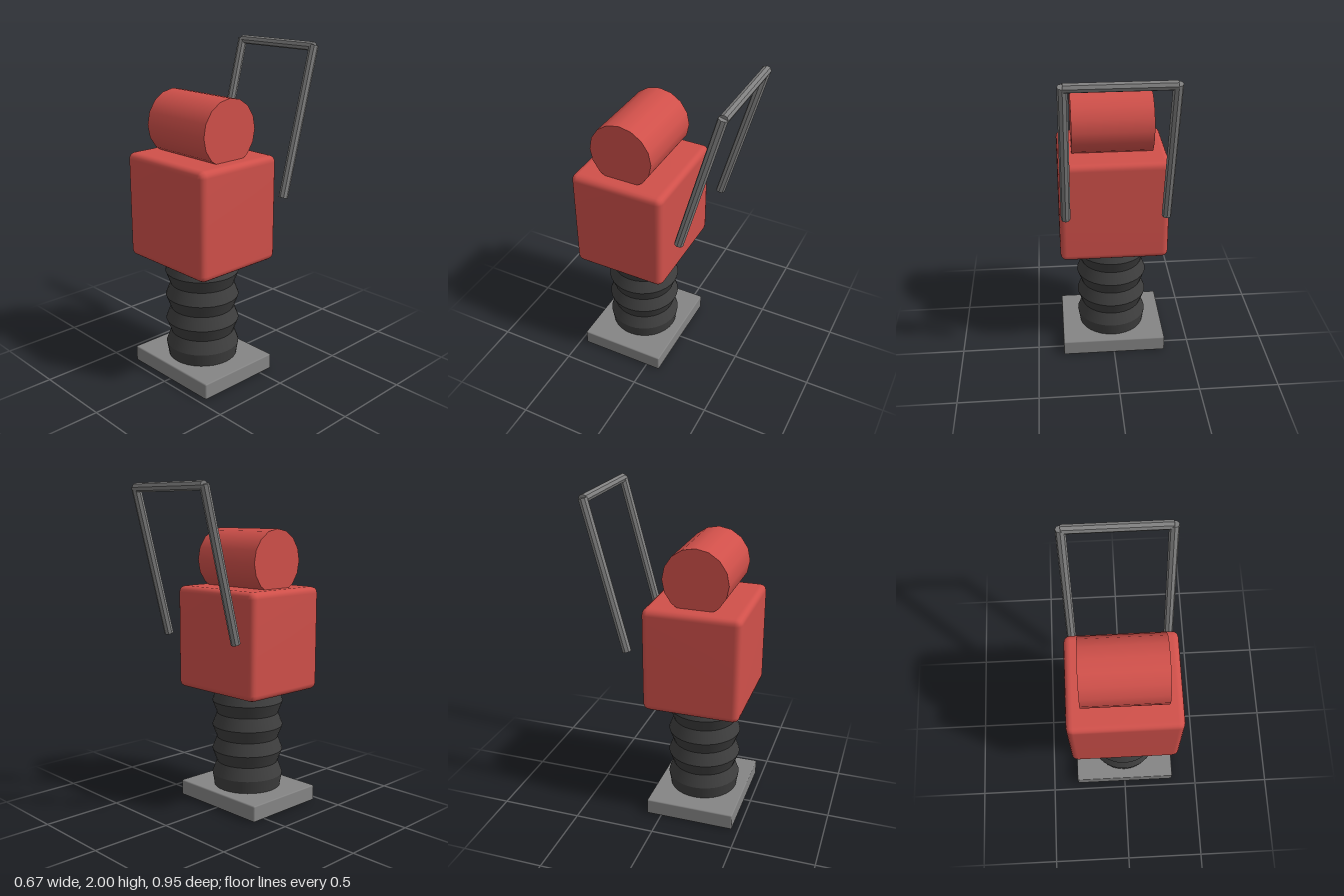
import * as THREE from 'three';
import { mergeVertices } from 'three/addons/utils/BufferGeometryUtils.js';
import { RoundedBoxGeometry } from 'three/addons/geometries/RoundedBoxGeometry.js';

const CENTER_Z = 0.18;

function material(name, color, extra = {}) {
  const m = new THREE.MeshStandardMaterial({ color, ...extra });
  m.name = name;
  return m;
}

function addMesh(parent, name, geometry, mat, x = 0, y = 0, z = 0) {
  const mesh = new THREE.Mesh(geometry, mat);
  mesh.name = name;
  mesh.position.set(x, y, z);
  parent.add(mesh);
  return mesh;
}

// Bevelled box whose normals blend softly across the edges
function softBox(w, h, d, radius) {
  const g = new RoundedBoxGeometry(w, h, d, 2, radius);
  g.deleteAttribute('normal');
  g.deleteAttribute('uv');
  const merged = mergeVertices(g, 1e-4);
  merged.computeVertexNormals();
  return merged;
}

// Round bar between two points
function addBar(parent, name, from, to, radius, mat) {
  const dir = to.clone().sub(from);
  const g = new THREE.CylinderGeometry(radius, radius, dir.length(), 8);
  const bar = addMesh(parent, name, g, mat);
  bar.position.copy(from).add(to).multiplyScalar(0.5);
  bar.quaternion.setFromUnitVectors(new THREE.Vector3(0, 1, 0), dir.normalize());
}

export function createModel() {
  const group = new THREE.Group();
  group.name = 'rammer';
  const red = material('red paint', 0xd0504a);
  const rubber = material('dark rubber', 0x3e3e3e);
  const steel = material('grey steel', 0x858585);
  const tube = material('grey tube', 0x808080);
  tube.flatShading = true;

  // Foot plate
  addMesh(group, 'footPlate', new RoundedBoxGeometry(0.666, 0.1, 0.55, 1, 0.008), steel, 0, 0.05, CENTER_Z + 0.003);

  // Bellows: alternating cones with a crisp crease at each ring
  const bellows = new THREE.Group();
  bellows.name = 'bellows';
  group.add(bellows);
  const rings = [[0.09, 0.21], [0.18, 0.225]];
  for (let i = 1; i <= 7; i++) rings.push([0.18 + i * 0.0793, i % 2 ? 0.195 : 0.225]);
  for (let i = 0; i < rings.length - 1; i++) {
    const [y0, r0] = rings[i];
    const [y1, r1] = rings[i + 1];
    const g = new THREE.CylinderGeometry(r1, r0, y1 - y0, 32, 1, true);
    addMesh(bellows, 'bellowsFold', g, rubber, 0, (y0 + y1) / 2, CENTER_Z + 0.003);
  }

  // Body block
  addMesh(group, 'body', softBox(0.666, 0.645, 0.59, 0.04), red, 0, 1.0575, CENTER_Z);

  // Engine drum lying across the body
  const drum = new THREE.CylinderGeometry(0.196, 0.196, 0.49, 16);
  addMesh(group, 'engineDrum', drum, red, 0, 1.54, CENTER_Z + 0.003).rotation.z = Math.PI / 2;

  // Handle: two leaning bars joined by a crossbar
  const handle = new THREE.Group();
  handle.name = 'handle';
  group.add(handle);
  for (const side of [-1, 1]) {
    const x = side * 0.296;
    addBar(handle, side > 0 ? 'leftHandleBar' : 'rightHandleBar',
      new THREE.Vector3(x, 1.093, -0.213), new THREE.Vector3(x, 1.98, -0.448), 0.028, tube);
  }
  addBar(handle, 'handleCrossbar',
    new THREE.Vector3(-0.296, 1.973, -0.449), new THREE.Vector3(0.296, 1.973, -0.449), 0.027, tube);

  return group;
}
